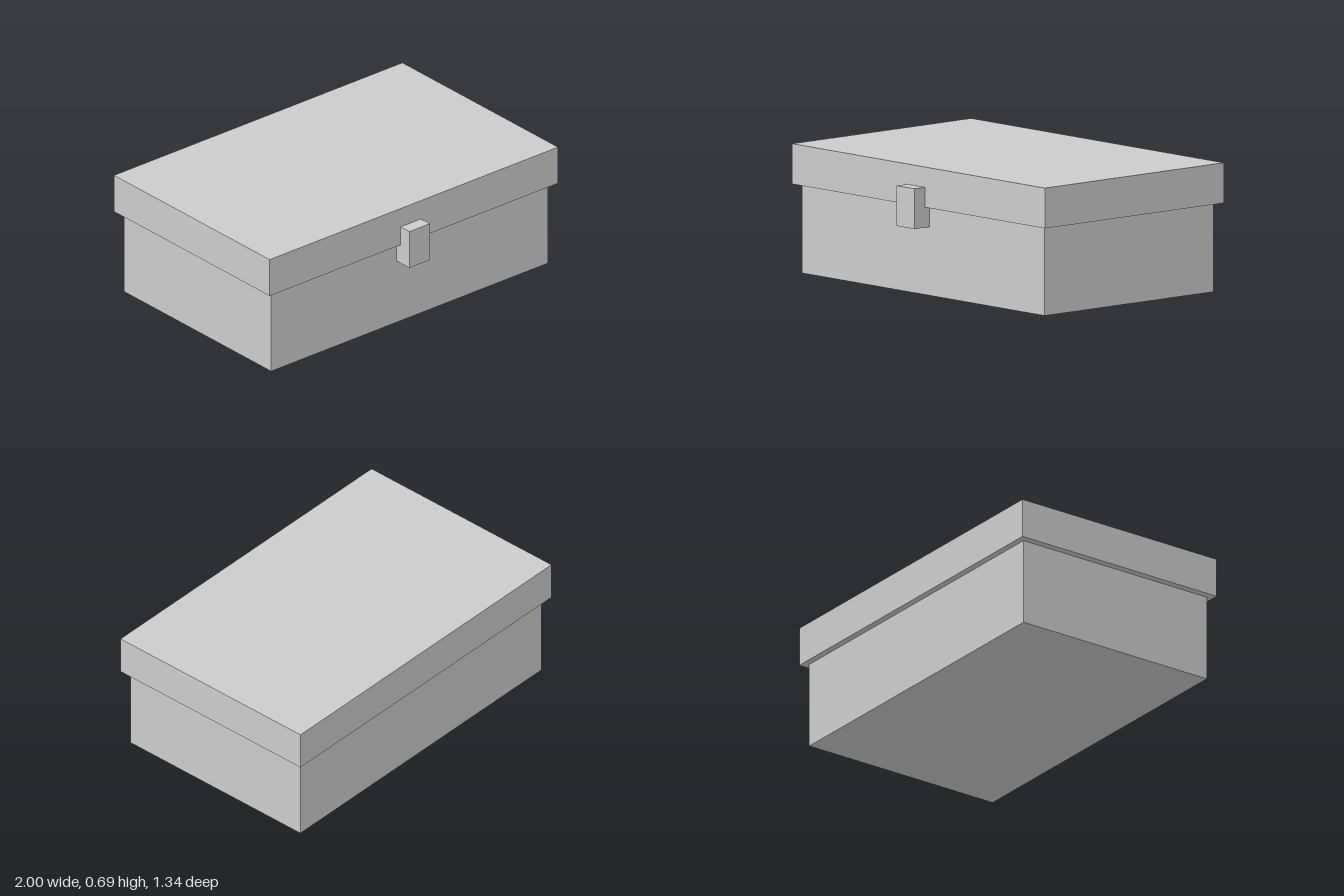
import * as THREE from 'three';

const material = new THREE.MeshStandardMaterial({ color: 0xcccccc, flatShading: true });

// Box given by its lower and upper corners
function block(name, [x0, y0, z0], [x1, y1, z1]) {
  const mesh = new THREE.Mesh(new THREE.BoxGeometry(x1 - x0, y1 - y0, z1 - z0), material);
  mesh.name = name;
  mesh.position.set((x0 + x1) / 2, (y0 + y1) / 2, (z0 + z1) / 2);
  return mesh;
}

export function createModel() {
  const chest = new THREE.Group();
  chest.name = 'chest';
  chest.add(
    block('body', [-0.96, 0, -0.636], [0.96, 0.476, 0.565]),
    // Lid overhangs the body on all four sides
    block('lid', [-1, 0.476, -0.672], [1, 0.692, 0.6]),
    // Latch straddles the seam, slightly off centre
    block('latch', [-0.092, 0.367, 0.565], [0.05, 0.583, 0.672]),
  );
  return chest;
}
